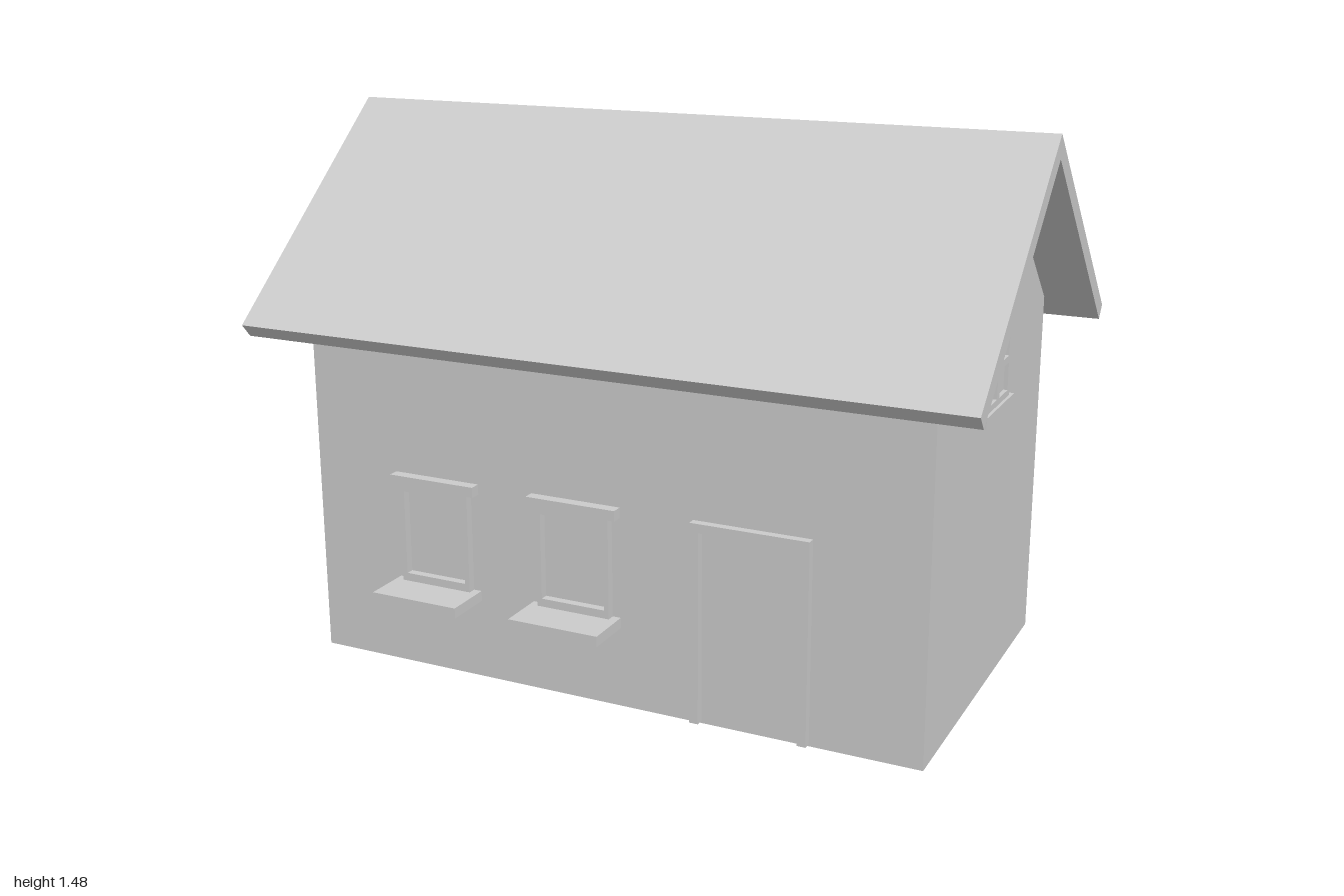
import * as THREE from 'three';

const material = new THREE.MeshStandardMaterial({ color: 0xcccccc, flatShading: true });

function mesh(name, geometry) {
  const m = new THREE.Mesh(geometry, material);
  m.name = name;
  return m;
}

// Box given by its minimum and maximum corners
function box(name, x0, x1, y0, y1, z0, z1) {
  const m = mesh(name, new THREE.BoxGeometry(x1 - x0, y1 - y0, z1 - z0));
  m.position.set((x0 + x1) / 2, (y0 + y1) / 2, (z0 + z1) / 2);
  return m;
}

const extrude = (shape, depth) => new THREE.ExtrudeGeometry(shape, { depth, bevelEnabled: false });
const polygon = (points) => new THREE.Shape(points.map(([x, y]) => new THREE.Vector2(x, y)));

// Extrude a (z, y) outline along x, from x0 to x1
function gableSolid(name, points, x0, x1) {
  const g = extrude(polygon(points), x1 - x0);
  g.rotateY(-Math.PI / 2).translate(x1, 0, 0);
  return mesh(name, g);
}

function rect(x0, x1, y0, y1) {
  return [[x0, y0], [x1, y0], [x1, y1], [x0, y1]];
}

// Window facing +z: its base is the sill's underside, its back lies on the wall
function makeWindow(name, { halfWidth, height, sides, holes, frameDepth, lintelDepth, sillDepth }) {
  const group = new THREE.Group();
  group.name = name;
  const t = 0.028;
  const frame = polygon(rect(-sides, sides, t, height - t));
  for (const hole of holes) frame.holes.push(polygon(rect(...hole)));
  group.add(
    mesh('windowFrame', extrude(frame, frameDepth)),
    box('lintel', -halfWidth, halfWidth, height - t, height, 0, lintelDepth),
    box('sill', -halfWidth, halfWidth, 0, t, 0, sillDepth)
  );
  return group;
}

export function createModel() {
  const house = new THREE.Group();
  house.name = 'house';

  // Walls with gable ends
  const wallX = 0.87, wallZ = 0.485;
  house.add(gableSolid('walls',
    [[-wallZ, 0], [wallZ, 0], [wallZ, 0.97], [0, 1.4], [-wallZ, 0.97]], -wallX, wallX - 0.003));

  // Folded roof slab with overhanging eaves
  house.add(gableSolid('roof',
    [[0, 1.477], [-0.613, 0.935], [-0.583, 0.9], [0, 1.416], [0.583, 0.9], [0.613, 0.935]], -1, 1));

  // Front and back windows
  const plain = {
    halfWidth: 0.128, height: 0.327, sides: 0.105, holes: [[-0.091, 0.091, 0.05, 0.282]],
  };
  for (const x of [-0.492, -0.075]) {
    const w = makeWindow('frontWindow', { ...plain, frameDepth: 0.022, lintelDepth: 0.03, sillDepth: 0.131 });
    w.position.set(x, 0.218, wallZ);
    house.add(w);
  }
  for (const x of [-0.333, 0.327]) {
    const w = makeWindow('backWindow', { ...plain, frameDepth: 0.017, lintelDepth: 0.03, sillDepth: 0.03 });
    w.position.set(x, 0.464, -wallZ);
    w.rotation.y = Math.PI;
    house.add(w);
  }

  // Four-pane gable windows
  const panes = [];
  for (const [x0, x1] of [[-0.09, -0.01], [0.01, 0.09]])
    for (const [y0, y1] of [[0.045, 0.118], [0.137, 0.208]]) panes.push([x0, x1, y0, y1]);
  for (const side of [-1, 1]) {
    const extra = side < 0 ? 0.007 : 0;
    const w = makeWindow('gableWindow', {
      halfWidth: 0.129, height: 0.255, sides: 0.106, holes: panes,
      frameDepth: 0.011 + extra, lintelDepth: 0.019 + extra, sillDepth: 0.019 + extra,
    });
    w.position.set(side < 0 ? -wallX : wallX - 0.003, 0.76, 0);
    w.rotation.y = side * Math.PI / 2;
    house.add(w);
  }

  // Door surround: two jambs and a head in one piece
  const surround = polygon([
    [0.257, 0.006], [0.281, 0.006], [0.281, 0.52], [0.549, 0.52],
    [0.549, 0.006], [0.573, 0.006], [0.573, 0.544], [0.257, 0.544],
  ]);
  const doorFrame = mesh('doorFrame', extrude(surround, 0.022));
  doorFrame.position.z = wallZ;
  house.add(doorFrame);

  return house;
}
